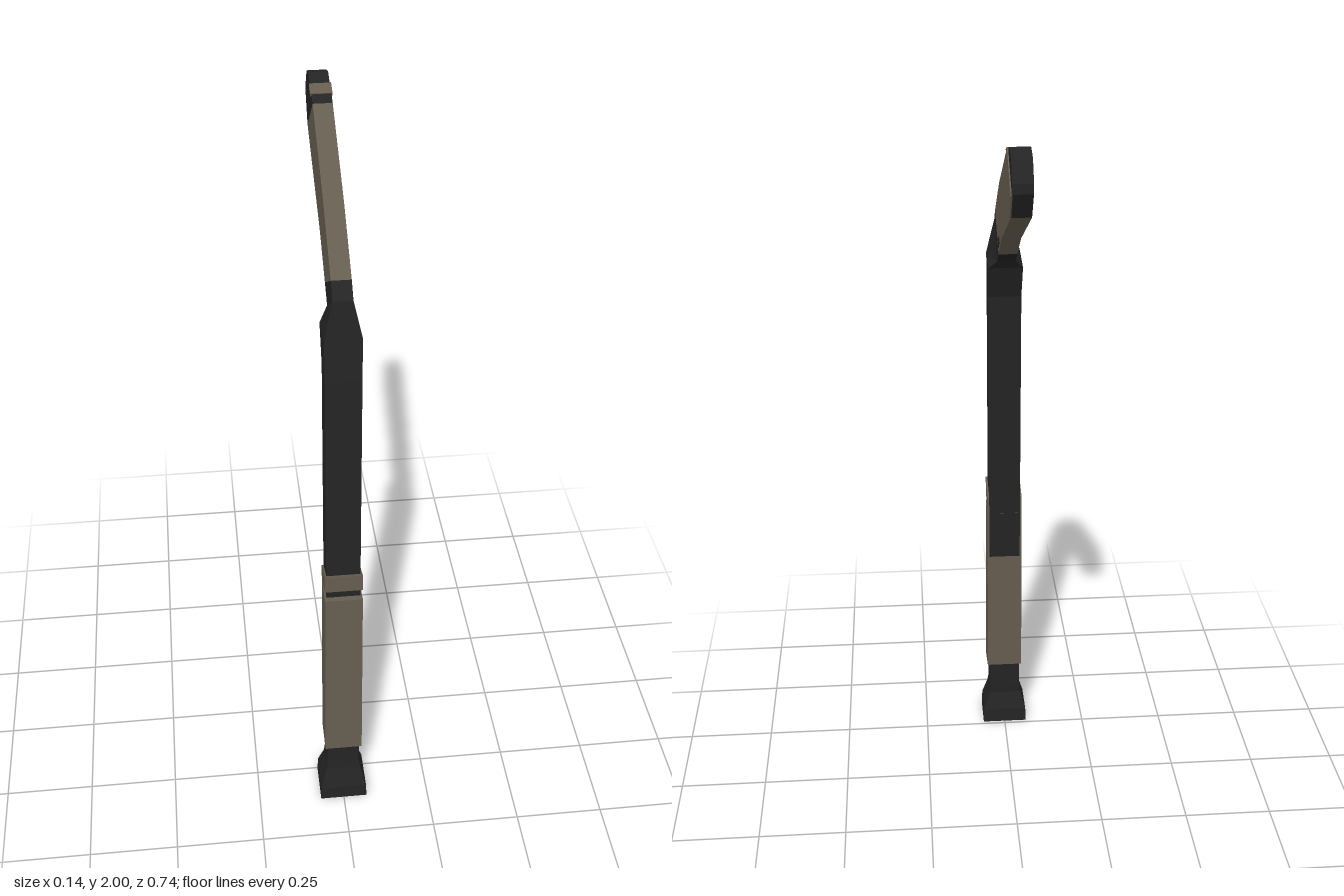
import * as THREE from 'three';

const mat = (name, color) => Object.assign(new THREE.MeshStandardMaterial({ color, flatShading: true }), { name });

// Rectangular loft; each ring is [front z, front y, back z, back y, half width]
function loft(rings) {
  const pos = [], idx = [];
  for (const [fz, fy, bz, by, w] of rings) pos.push(-w, fy, fz, w, fy, fz, w, by, bz, -w, by, bz);
  for (let i = 0; i < rings.length - 1; i++) {
    for (let j = 0; j < 4; j++) {
      const a = i * 4 + j, b = i * 4 + (j + 1) % 4;
      idx.push(a, b, b + 4, a, b + 4, a + 4);
    }
  }
  const t = (rings.length - 1) * 4;
  idx.push(0, 2, 1, 0, 3, 2, t, t + 1, t + 2, t, t + 2, t + 3);
  const g = new THREE.BufferGeometry();
  g.setAttribute('position', new THREE.Float32BufferAttribute(pos, 3));
  g.setIndex(idx);
  const flat = g.toNonIndexed();
  flat.computeVertexNormals();
  return flat;
}

// Side outline of [z, y] points, extruded across x from x0 to x1
function prism(points, x0, x1) {
  const shape = new THREE.Shape(points.map(([z, y]) => new THREE.Vector2(-z, y)));
  const g = new THREE.ExtrudeGeometry(shape, { depth: x1 - x0, bevelEnabled: false });
  return g.rotateY(Math.PI / 2).translate(x0, 0, 0);
}

export function createModel() {
  const group = new THREE.Group();
  const black = mat('black', 0x242424);
  const tape = mat('brown tape', 0x665d50);
  const add = (name, geometry, material) => {
    const m = new THREE.Mesh(geometry, material);
    m.name = name;
    group.add(m);
  };

  // Flared butt, shaft and the bend into the blade
  add('buttEnd', loft([
    [0.37, 0, 0.255, 0.004, 0.068],
    [0.37, 0.045, 0.257, 0.05, 0.066],
    [0.348, 0.105, 0.272, 0.105, 0.05],
    [0.345, 0.13, 0.27, 0.13, 0.046],
  ]), black);
  add('shaft', loft([
    [0.345, 0.13, 0.27, 0.13, 0.046],
    [0.295, 1.455, 0.22, 1.46, 0.046],
    [0.284, 1.57, 0.18, 1.556, 0.047],
    [0.27, 1.667, 0.15, 1.585, 0.025],
    [0.233, 1.703, 0.1, 1.62, 0.025],
  ]), black);

  // Grip wrap and the separate turn of tape above it, open at the back
  add('gripTape', loft([
    [0.353, 0.2, 0.264, 0.216, 0.053],
    [0.337, 0.77, 0.247, 0.77, 0.051],
  ]), tape);
  add('gripTapeBand', prism([[0.333, 0.8], [0.246, 0.768], [0.246, 0.822], [0.332, 0.85]], -0.051, 0.051), tape);

  // Taped blade with a small gap at the heel
  add('bladeTape', prism([
    [0.233, 1.703], [0.1, 1.62], [-0.02, 1.7], [-0.325, 1.843], [-0.182, 1.963], [0.07, 1.82],
  ], -0.025, 0.025), tape);
  add('heelGap', prism([[0.1, 1.665], [0.095, 1.64], [0.058, 1.667], [0.074, 1.678]], 0.024, 0.027), black);

  // Bare toe and the last turn of tape
  add('toe', prism([
    [-0.182, 1.963], [-0.325, 1.843], [-0.37, 1.91], [-0.37, 1.935], [-0.338, 1.985], [-0.29, 2], [-0.26, 1.99],
  ], -0.025, 0.025), black);
  add('toeTapeSide', prism([
    [-0.213, 1.975], [-0.262, 1.91], [-0.327, 1.841], [-0.371, 1.908], [-0.362, 1.906], [-0.25, 1.988],
  ], 0.024, 0.028), tape);
  add('toeTapeTop', prism([[-0.213, 1.976], [-0.216, 1.968], [-0.247, 1.981], [-0.246, 1.989]], -0.028, 0.028), tape);
  return group;
}
